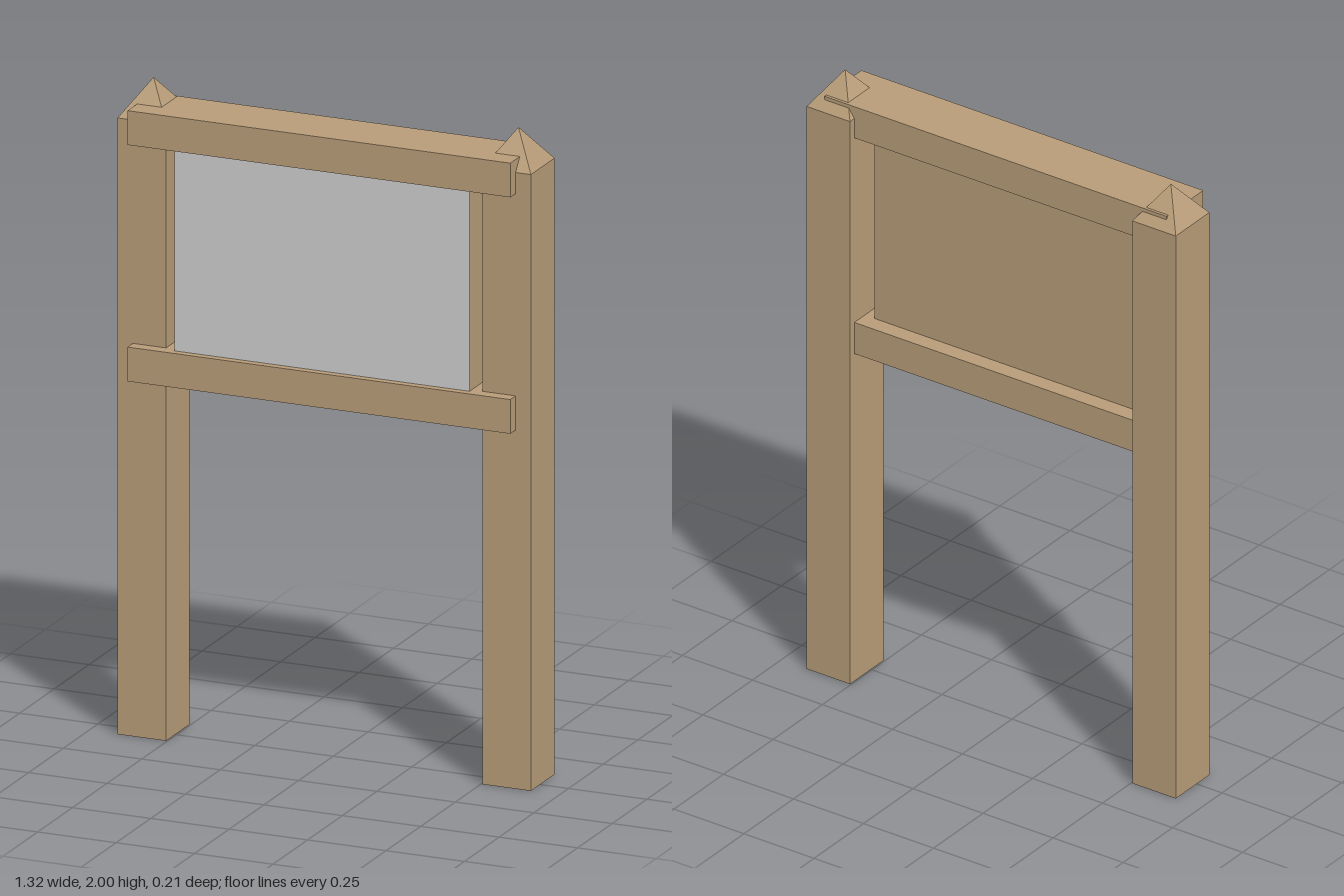
import * as THREE from 'three';

const wood = new THREE.MeshStandardMaterial({ color: 0xb79c78, flatShading: true });
const grey = new THREE.MeshStandardMaterial({ color: 0xcccccc, flatShading: true });

// Box given by its minimum and maximum corners
function box(name, min, max, material = wood) {
  const size = max.map((v, i) => v - min[i]);
  const mesh = new THREE.Mesh(new THREE.BoxGeometry(...size), material);
  mesh.position.set(...max.map((v, i) => (v + min[i]) / 2));
  mesh.name = name;
  return mesh;
}

// Four-sided pyramid with its base aligned to the axes
function pyramid(width, height, depth) {
  const geometry = new THREE.ConeGeometry(Math.SQRT1_2, height, 4, 1, true);
  geometry.rotateY(Math.PI / 4);
  geometry.scale(width, 1, depth);
  geometry.translate(0, height / 2, 0);
  return geometry;
}

export function createModel() {
  const model = new THREE.Group();
  model.name = 'noticeBoard';

  // Square posts with pointed caps
  const postWidth = 0.155, postDepth = 0.17, postHeight = 1.89, postX = 0.5815, postZ = -0.02;
  for (const [side, s] of [['left', 1], ['right', -1]]) {
    const post = new THREE.Group();
    post.name = side + 'Post';
    post.position.set(s * postX, 0, postZ);
    post.add(box('postShaft', [-postWidth / 2, 0, -postDepth / 2], [postWidth / 2, postHeight, postDepth / 2]));
    const cap = new THREE.Mesh(pyramid(postWidth, 2 - postHeight, postDepth), wood);
    cap.name = 'postCap';
    cap.position.y = postHeight;
    post.add(cap);
    model.add(post);
  }

  // Horizontal rails passing through the posts
  for (const [name, y] of [['lowerRail', 1.1], ['upperRail', 1.825]]) {
    model.add(box(name, [-0.61, y, -0.083], [0.61, y + 0.105, 0.103]));
  }

  // Wooden panel with a thin grey notice sheet on its front
  model.add(box('backPanel', [-0.47, 1.2, -0.03], [0.47, 1.83, 0.076]));
  model.add(box('noticeSheet', [-0.47, 1.205, 0.076], [0.47, 1.825, 0.08], grey));

  return model;
}
